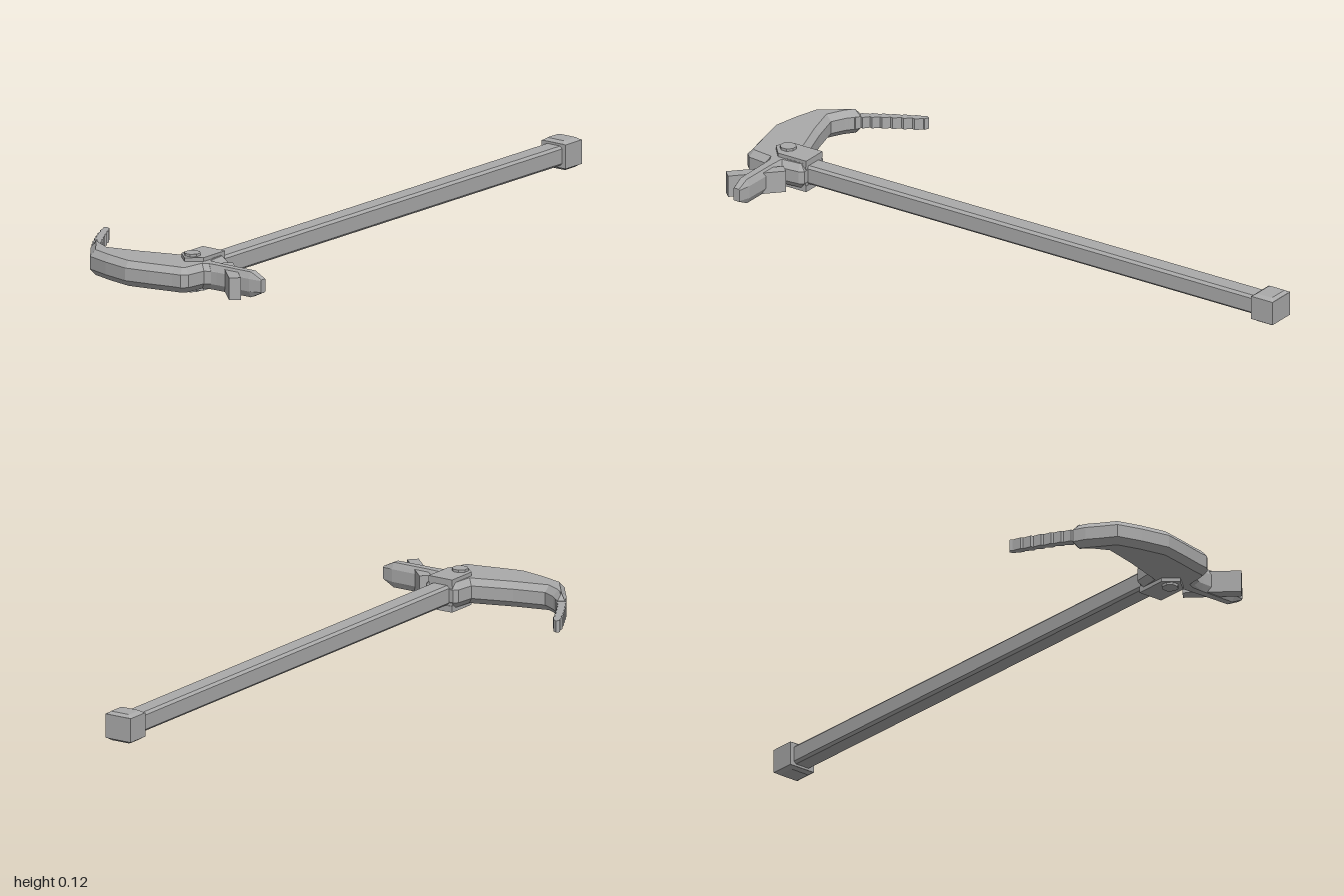
import * as THREE from 'three';

const MID = 0.068; // height of the tool's central plane

// Chamfered rectangle: half width, half height, chamfer in x and y (counter-clockwise)
function ring(z, hw, hh, cx, cy, ox = 0) {
  return [
    [hw, -hh + cy], [hw, hh - cy], [hw - cx, hh], [-hw + cx, hh],
    [-hw, hh - cy], [-hw, -hh + cy], [-hw + cx, -hh], [hw - cx, -hh],
  ].map(([x, y]) => [x + ox, y, z]);
}

// Skin a list of rings running towards +z and close both ends
function loft(rings) {
  const pos = [];
  const tri = (a, b, c) => pos.push(...a, ...b, ...c);
  const n = rings[0].length;
  for (let i = 0; i < rings.length - 1; i++) {
    for (let j = 0; j < n; j++) {
      const k = (j + 1) % n;
      tri(rings[i][j], rings[i][k], rings[i + 1][k]);
      tri(rings[i][j], rings[i + 1][k], rings[i + 1][j]);
    }
  }
  const first = rings[0], last = rings[rings.length - 1];
  for (let j = 1; j < n - 1; j++) {
    tri(first[0], first[j + 1], first[j]);
    tri(last[0], last[j], last[j + 1]);
  }
  const g = new THREE.BufferGeometry();
  g.setAttribute('position', new THREE.Float32BufferAttribute(pos, 3));
  g.computeVertexNormals();
  return g;
}

// Flat plate from an outline in x and z, centred on y, with optional chamfered rims
function plate(outline, height, bevel = 0, bevelHeight = 0) {
  const shape = new THREE.Shape(outline.map(([x, z]) => new THREE.Vector2(x, z)));
  const g = new THREE.ExtrudeGeometry(shape, {
    depth: height - 2 * bevelHeight,
    bevelEnabled: bevel > 0,
    bevelSegments: 1,
    bevelSize: bevel,
    bevelOffset: -bevel,
    bevelThickness: bevelHeight,
  });
  g.translate(0, 0, -(height - 2 * bevelHeight) / 2);
  g.rotateX(Math.PI / 2);
  return g;
}

export function createModel() {
  const group = new THREE.Group();
  const steel = new THREE.MeshStandardMaterial({ color: 0xaaaaaa, flatShading: true });
  steel.name = 'grey steel';

  const add = (name, geometry, x = 0, y = MID, z = 0) => {
    const mesh = new THREE.Mesh(geometry, steel);
    mesh.name = name;
    mesh.position.set(x, y, z);
    group.add(mesh);
    return mesh;
  };

  // Long handle with small chamfers
  add('handle', loft([-0.95, 0.8].map((z) => ring(z, 0.033, 0.031, 0.008, 0.008))), 0.113);

  // Pommel block with a raised pad above and below
  add('pommel', new THREE.BoxGeometry(0.094, 0.076, 0.08), 0.113, MID, -0.96);
  for (const side of [1, -1]) {
    const pad = loft([
      ring(0, 0.047, 0.04, 0.004, 0.004),
      ring(0.009, 0.034, 0.028, 0.004, 0.004),
    ]);
    pad.rotateX(-side * Math.PI / 2);
    add('pommelPad', pad, 0.113, MID + side * 0.037, -0.96);
  }

  // Main blade with chamfered rims
  add('blade', plate([
    [-0.18, 0.875], [-0.08, 0.848], [0.045, 0.805], [0.052, 0.745], [0.065, 0.735],
    [0.165, 0.735], [0.175, 0.75], [0.18, 0.808], [0.2, 0.82], [0.2, 0.86], [0.18, 0.87],
    [0.172, 0.935], [0.155, 0.952], [0.125, 0.957], [0.05, 0.975], [-0.03, 0.992],
    [-0.12, 0.975], [-0.2, 0.952], [-0.235, 0.905], [-0.262, 0.872], [-0.28, 0.835],
    [-0.262, 0.822], [-0.225, 0.852],
  ], 0.08, 0.017, 0.02));

  // Serrated hook: stepped teeth along a gentle curve
  const curve = new THREE.CatmullRomCurve3([
    new THREE.Vector3(-0.225, 0, 0.875), new THREE.Vector3(-0.275, 0, 0.825),
    new THREE.Vector3(-0.325, 0, 0.745), new THREE.Vector3(-0.373, 0, 0.655),
  ]);
  const teeth = 9, inner = [], outer = [];
  for (let i = 0; i < teeth; i++) {
    for (const [t, w] of [[i / teeth, 0.017], [(i + 0.8) / teeth, 0.011]]) {
      const p = curve.getPoint(t), d = curve.getTangent(t);
      const s = w * (1 - 0.2 * t);
      outer.push([p.x + d.z * s, p.z - d.x * s]);
      inner.push([p.x - d.z * s, p.z + d.x * s]);
    }
  }
  add('serratedHook', plate([...outer, [-0.384, 0.658], [-0.376, 0.648],
    [-0.362, 0.655], ...inner.reverse()], 0.037));

  // Short peen narrowing at its tip
  const peen = loft([
    ring(0.14, 0.03, 0.04, 0.014, 0.02),
    ring(0.22, 0.023, 0.04, 0.011, 0.02),
    ring(0.345, 0.021, 0.04, 0.01, 0.02),
    ring(0.384, 0.012, 0.021, 0.003, 0.003),
  ]);
  peen.rotateY(Math.PI / 2);
  add('peen', peen, 0, MID, 0.835);

  // Slanted cross bar through the peen
  const bar = add('crossBar', new THREE.BoxGeometry(0.18, 0.07, 0.036), 0.266, 0.065, 0.845);
  bar.rotation.y = -0.76;

  // Pointed collar plates and rivets, above and below
  for (const side of [1, -1]) {
    add('collarPlate', plate([
      [0.068, 0.735], [0.155, 0.735], [0.155, 0.84], [0.111, 0.878], [0.068, 0.84],
    ], 0.02), 0, MID + side * 0.042);
    const rivet = new THREE.CylinderGeometry(0.026, 0.026, 0.02, 8);
    rivet.rotateY(Math.PI / 8);
    add('rivet', rivet, 0.107, MID + side * 0.05, 0.835);
  }
  // Square socket joining handle and blade
  add('socket', new THREE.BoxGeometry(0.087, 0.084, 0.08), 0.112, MID, 0.777);

  // Rest on the ground and centre exactly
  const box = new THREE.Box3().setFromObject(group);
  const c = box.getCenter(new THREE.Vector3());
  for (const m of group.children) m.position.sub(new THREE.Vector3(c.x, box.min.y, c.z));
  return group;
}
